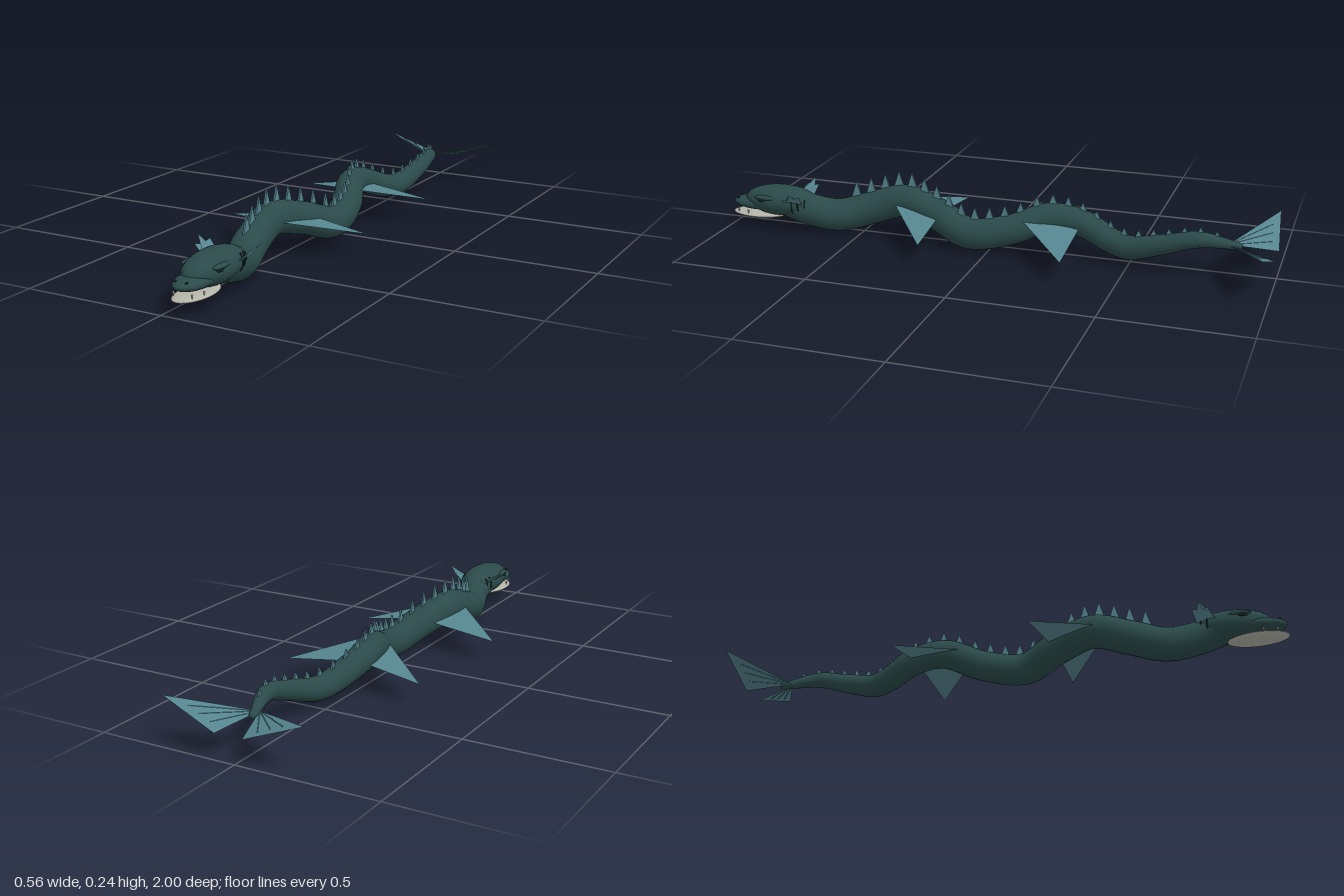
import * as THREE from 'three';

const mat = (name, color, side = THREE.FrontSide) => {
  const m = new THREE.MeshStandardMaterial({ color, side });
  m.name = name;
  return m;
};

export function createModel() {
  const skin = mat('deep teal skin', 0x2b4a4a);
  const fin = mat('pale teal fin', 0x55858f, THREE.DoubleSide);
  const jawPale = mat('pale jaw', 0xb4b3a8);
  const ivory = mat('ivory tooth', 0xeeeadc);
  const dark = mat('dark eye', 0x182424);

  const model = new THREE.Group();
  const V = (x, y, z) => new THREE.Vector3(x, y, z);
  const add = (name, geo, material, x = 0, y = 0, z = 0) => {
    const m = new THREE.Mesh(geo, material);
    m.name = name;
    m.position.set(x, y, z);
    model.add(m);
    return m;
  };
  const ellipsoid = (name, material, x, y, z, rx, ry, rz) =>
    add(name, new THREE.SphereGeometry(1, 28, 18).scale(rx, ry, rz), material, x, y, z);
  // thin flat fan of triangles from a list of points
  const plate = (name, pts) => {
    const g = new THREE.BufferGeometry().setFromPoints(pts);
    const idx = [];
    for (let i = 1; i < pts.length - 1; i++) idx.push(0, i, i + 1);
    g.setIndex(idx);
    const flat = g.toNonIndexed();
    flat.computeVertexNormals();
    return add(name, flat, fin);
  };

  // undulating body: x, y, z of the centre line
  const line = new THREE.CatmullRomCurve3([
    V(0.055, 0.11, 0.78), V(0.05, 0.085, 0.70), V(0.018, 0.062, 0.59), V(-0.013, 0.092, 0.47),
    V(-0.02, 0.131, 0.34), V(0.018, 0.105, 0.2), V(0.06, 0.064, 0.07), V(0.04, 0.088, -0.08),
    V(-0.008, 0.132, -0.21), V(-0.018, 0.118, -0.32), V(0.015, 0.076, -0.44), V(0.036, 0.069, -0.5),
    V(0.058, 0.104, -0.63), V(0.058, 0.133, -0.74), V(0.02, 0.112, -0.87),
  ]);
  const radius = z => {
    const stops = [[-0.87, 0.013], [-0.75, 0.028], [-0.5, 0.042], [-0.2, 0.052], [0.1, 0.057], [0.5, 0.06], [1, 0.055]];
    if (z <= stops[0][0]) return stops[0][1];
    for (let i = 1; i < stops.length; i++) {
      const [z0, r0] = stops[i - 1], [z1, r1] = stops[i];
      if (z <= z1) return r0 + (r1 - r0) * (z - z0) / (z1 - z0);
    }
    return 0.055;
  };
  const segs = 140, sides = 24;
  const body = new THREE.TubeGeometry(line, segs, 1, sides, false);
  const p = body.attributes.position, v = V(0, 0, 0);
  for (let i = 0; i <= segs; i++) {
    const c = line.getPointAt(i / segs);
    for (let j = 0; j <= sides; j++) {
      const k = i * (sides + 1) + j;
      v.fromBufferAttribute(p, k).sub(c).multiplyScalar(radius(c.z)).add(c);
      p.setXYZ(k, v.x, v.y, v.z);
    }
  }
  add('body', body, skin);
  ellipsoid('tailTip', skin, 0.02, 0.112, -0.868, 0.013, 0.013, 0.016);

  // centre of the body at a given z
  const centreAt = z => {
    let a = 0, b = 1;
    for (let i = 0; i < 24; i++) {
      const m = (a + b) / 2;
      if (line.getPoint(m).z > z) a = m; else b = m;
    }
    return line.getPoint(a);
  };

  // row of upright spines along the back
  const spines = 26;
  for (let i = 0; i < spines; i++) {
    const t = i / (spines - 1), z = 0.525 - t * 1.325;
    const c = centreAt(z);
    const h = 0.058 - 0.042 * t, w = 0.025 - 0.006 * t, sink = 0.02;
    const s = new THREE.Shape([new THREE.Vector2(-w, -sink), new THREE.Vector2(w, -sink), new THREE.Vector2(0, h)]);
    const g = new THREE.ExtrudeGeometry(s, { depth: 0.006, bevelEnabled: false });
    g.translate(0, 0, -0.003).rotateY(Math.PI / 2);
    add('backSpine', g, fin, c.x, c.y + radius(z), z);
  }

  // head
  const hx = 0.056;
  ellipsoid('cranium', skin, hx, 0.11, 0.8, 0.07, 0.056, 0.145);
  ellipsoid('snout', skin, hx, 0.093, 0.895, 0.054, 0.025, 0.1);
  ellipsoid('lowerJaw', jawPale, hx, 0.052, 0.895, 0.055, 0.012, 0.105);

  for (const s of [-1, 1]) {
    ellipsoid('brow', skin, hx + s * 0.056, 0.13, 0.84, 0.014, 0.009, 0.045);
    ellipsoid('eye', dark, hx + s * 0.059, 0.122, 0.855, 0.01, 0.008, 0.018);
    ellipsoid('nostril', dark, hx + s * 0.02, 0.107, 0.972, 0.004, 0.003, 0.006);
    // fangs
    for (const [dx, z] of [[0.033, 0.965], [0.045, 0.92]])
      add('fang', new THREE.ConeGeometry(0.004, 0.016, 8).rotateX(Math.PI), ivory, hx + s * dx, 0.063, z);
    // gill slits
    for (let i = 0; i < 3; i++) {
      const z = 0.735 - i * 0.022;
      const arc = new THREE.CatmullRomCurve3([-0.7, -0.25, 0.2, 0.6].map(a => {
        const k = Math.sqrt(1 - ((z - 0.8) / 0.145) ** 2);
        return V(hx + s * 0.071 * k * Math.cos(a), 0.11 + 0.057 * k * Math.sin(a), z);
      }));
      add('gill', new THREE.TubeGeometry(arc, 10, 0.0025, 6), dark);
    }
    // ear frill, a small ribbed fan
    plate('earFrill', [
      V(hx + s * 0.055, 0.115, 0.77), V(hx + s * 0.108, 0.148, 0.745), V(hx + s * 0.095, 0.146, 0.73),
      V(hx + s * 0.115, 0.172, 0.715), V(hx + s * 0.09, 0.15, 0.71), V(hx + s * 0.085, 0.155, 0.69),
      V(hx + s * 0.045, 0.11, 0.7),
    ]);

    // two pairs of side fins
    for (const [name, zf, zb, tipX] of [['frontFin', 0.37, 0.185, -0.007 + s * 0.273], ['rearFin', -0.13, -0.32, 0.008 + s * 0.262]]) {
      const a = centreAt(zf), b = centreAt(zb);
      plate(name, [
        V(a.x + s * 0.045, 0.132, zf), V(tipX, 0.077, zb), V(b.x + s * 0.025, 0.113, zb),
      ]);
    }

    // tail fluke with raised rays
    const root = V(0.02, 0.113, -0.835);
    const outer = V(0.02 + s * 0.256, 0.165, -0.978), inner = V(0.02 + s * 0.05, 0.09, -1);
    plate('tailFluke', [root, outer, inner]);
    for (const t of [0.25, 0.5, 0.75]) {
      const end = root.clone().lerp(outer.clone().lerp(inner, t), 0.85);
      add('flukeRay', new THREE.TubeGeometry(new THREE.LineCurve3(root, end), 1, 0.0018, 5), fin);
    }
  }
  return model;
}
